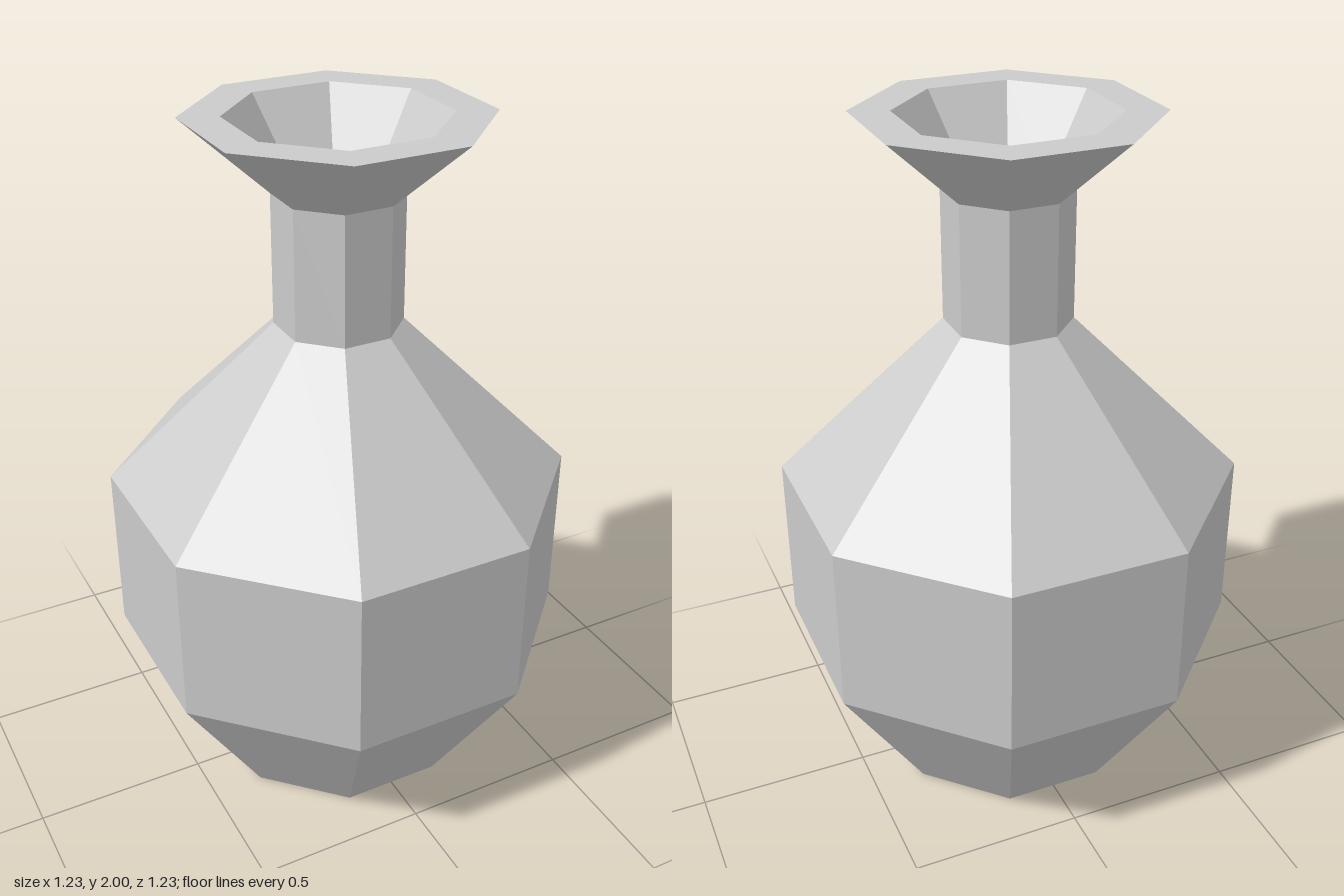
import * as THREE from 'three';

const SIDES = 8;
// Profiles give the distance to the flat sides; convert to corner radius.
const CORNER = 1 / Math.cos(Math.PI / SIDES);

export function createModel() {
  const vase = new THREE.Group();
  vase.name = 'vase';
  const material = new THREE.MeshStandardMaterial({ color: 0xcccccc, flatShading: true });

  // Turns a [flat radius, height] profile into an octagonal shell, flat side to the front.
  function addRing(name, profile) {
    const points = profile.map(([r, y]) => new THREE.Vector2(r * CORNER, y));
    const mesh = new THREE.Mesh(new THREE.LatheGeometry(points, SIDES, Math.PI / SIDES), material);
    mesh.name = name;
    vase.add(mesh);
  }

  // Closed base, tapered foot, straight belly and sloping shoulder
  addRing('body', [[0, 0], [0.35, 0], [0.613, 0.453], [0.613, 0.953], [0.167, 1.424]]);

  addRing('neck', [[0.167, 1.424], [0.167, 1.795]]);

  // Flared mouth with a flat lip
  addRing('rim', [[0.167, 1.795], [0.383, 2], [0.279, 2]]);

  // Tapered hollow and its floor
  addRing('mouthHollow', [[0.279, 2], [0.128, 1.76], [0, 1.76]]);

  return vase;
}
